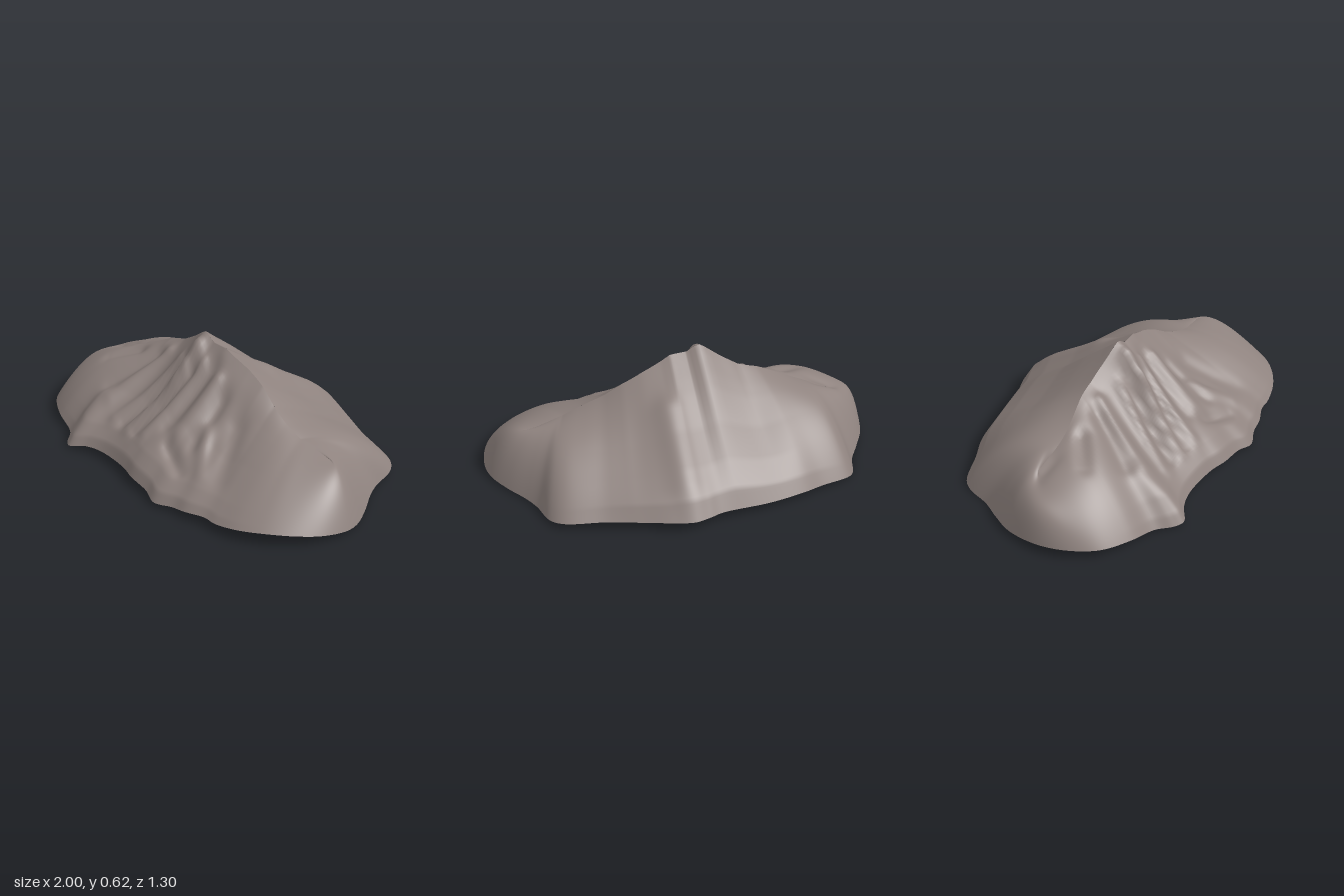
import * as THREE from 'three';

// Rim of the shell [x, y, z], clockwise seen from above, starting at the back
const RIM = [
  [0.1, 0.05, -0.65], [0.2, 0.05, -0.63], [0.35, 0.045, -0.58], [0.5, 0.04, -0.53], [0.7, 0.03, -0.48],
  [0.76, 0.02, -0.42], [0.8, 0.01, -0.28], [0.84, 0.01, -0.2], [0.92, 0.01, -0.08], [0.98, 0.015, 0.03],
  [1, 0.025, 0.12], [0.98, 0.045, 0.25], [0.92, 0.06, 0.36], [0.82, 0.065, 0.46], [0.7, 0.055, 0.53],
  [0.58, 0.04, 0.56], [0.5, 0.04, 0.565], [0.4, 0.035, 0.6], [0.32, 0.025, 0.61], [0.22, 0.018, 0.645],
  [0.13, 0.03, 0.62], [0, 0.04, 0.61], [-0.1, 0.04, 0.585], [-0.3, 0.035, 0.575], [-0.4, 0.03, 0.6],
  [-0.48, 0.015, 0.645], [-0.53, 0.01, 0.62], [-0.6, 0.012, 0.555], [-0.75, 0.04, 0.515], [-0.89, 0.05, 0.435],
  [-0.97, 0.05, 0.31], [-1, 0.04, 0.16], [-0.97, 0.02, -0.02], [-0.9, 0.005, -0.15], [-0.84, 0, -0.25],
  [-0.8, 0.005, -0.37], [-0.76, 0.015, -0.42], [-0.6, 0.03, -0.48], [-0.48, 0.04, -0.53], [-0.3, 0.04, -0.57],
  [-0.05, 0.05, -0.605], [0.02, 0.05, -0.63],
];

// Summit line: [x, height]
const RIDGE = [
  [-0.8, 0.27], [-0.6, 0.355], [-0.4, 0.46], [-0.3, 0.49], [-0.2, 0.55], [-0.13, 0.6], [-0.095, 0.62],
  [-0.04, 0.582], [0.05, 0.578], [0.1, 0.552], [0.2, 0.51], [0.3, 0.46], [0.4, 0.395], [0.5, 0.35],
  [0.6, 0.31], [0.8, 0.26],
];

// Fall from summit line (0) to rim (1) in the middle of the mountain
const FRONT_SLOPE = [
  [0, 1], [0.1, 0.89], [0.2, 0.77], [0.3, 0.66], [0.4, 0.56], [0.53, 0.44], [0.69, 0.32], [0.84, 0.21],
  [0.95, 0.1], [1, 0],
];
const BACK_SLOPE = [[0, 1], [0.1, 0.91], [0.18, 0.84], [0.28, 0.75], [0.5, 0.54], [0.75, 0.33], [0.92, 0.16], [1, 0]];

// Spurs (+) and gullies (-): [x0, z0, x1, z1, width, height]
const FOLDS = [
  [-0.1, 0.1, -0.12, 0.22, 0.05, 0.05],
  [-0.2, 0.14, -0.34, 0.45, 0.035, 0.03],
  [-0.16, 0.14, -0.27, 0.44, 0.032, -0.036],
  [-0.1, 0.2, -0.21, 0.46, 0.032, 0.03],
  [-0.06, 0.18, -0.15, 0.46, 0.03, -0.036],
  [-0.02, 0.14, -0.08, 0.46, 0.032, 0.028],
  [0.04, 0.1, 0.0, 0.38, 0.037, -0.036],
  [0.1, 0.15, 0.09, 0.42, 0.037, 0.03],
  [0.17, 0.17, 0.2, 0.38, 0.037, -0.03],
  [0.2, 0.3, 0.34, 0.46, 0.037, 0.025],
  [0.08, 0.44, 0.24, 0.5, 0.032, -0.03],
  [0.32, 0.2, 0.44, 0.42, 0.05, -0.025],
  [-0.4, 0.12, -0.52, 0.34, 0.042, -0.028],
  [-0.34, 0.1, -0.44, 0.4, 0.037, 0.025],
  [-0.55, 0.12, -0.68, 0.22, 0.04, -0.025],
  [-0.72, 0.06, -0.82, 0.06, 0.04, -0.015],
  [-0.5, 0.42, -0.5, 0.6, 0.06, 0.02],
  [0.12, -0.2, 0.12, -0.63, 0.07, 0.03],
];

function lookUp(table, v) {
  if (v <= table[0][0]) return table[0][1];
  for (let i = 1; i < table.length; i++) {
    const [a, ya] = table[i - 1], [b, yb] = table[i];
    if (v <= b) return ya + (yb - ya) * (v - a) / (b - a);
  }
  return table[table.length - 1][1];
}

// Folds fade out toward their lower ends
function foldHeight(x, z) {
  let sum = 0;
  for (const [x0, z0, x1, z1, width, height] of FOLDS) {
    const dx = x1 - x0, dz = z1 - z0;
    const k = THREE.MathUtils.clamp(((x - x0) * dx + (z - z0) * dz) / (dx * dx + dz * dz), 0, 1);
    const d = Math.hypot(x - x0 - k * dx, z - z0 - k * dz) / width;
    sum += height * (1 - 0.5 * k * k) * Math.exp(-d * d);
  }
  return sum;
}

// Open sheet lofted from the summit line out to the rim
function mountainGeometry(around = 320, rings = 48) {
  const { lerp, smoothstep } = THREE.MathUtils;
  const rim = new THREE.CatmullRomCurve3(RIM.map(p => new THREE.Vector3(...p)), true);
  const positions = [], index = [];
  for (let r = 0; r <= rings; r++) {
    const t = 1 - (1 - r / rings) ** 1.4;
    for (let i = 0; i < around; i++) {
      const p = rim.getPoint(i / around);
      const sx = p.x * 0.78;
      const sz = 0.035 + 0.015 * Math.sin(sx * 11 + 2);
      const x = sx + (p.x - sx) * t, z = sz + (p.z - sz) * t;
      // Domed ends: flatter toward the front left, steep-edged at the right tip
      const frontLeft = smoothstep(p.x, 0, 0.5) * smoothstep(p.z, 0.15, 0.45);
      const tip = p.x < 0 ? Math.exp(-(((p.z - 0.16) / 0.17) ** 2)) : 0;
      const dome = lerp(1 - t ** (2.3 - 0.5 * frontLeft), 1 - 0.35 * t - 0.65 * t ** 7, tip);
      const slope = lookUp(p.z > sz ? FRONT_SLOPE : BACK_SLOPE, t);
      const fall = lerp(slope, dome, smoothstep(Math.abs(p.x), 0.3, 0.85));
      const fade = Math.min(1, t * 8) * Math.min(1, (1 - t) * 6);
      const y = p.y + (lookUp(RIDGE, sx) - p.y) * fall + foldHeight(x, z) * fade;
      positions.push(x, Math.max(0, y), z);
      if (r < rings) {
        const a = r * around + i, b = r * around + (i + 1) % around;
        index.push(a, b, a + around, b, b + around, a + around);
      }
    }
  }
  const geometry = new THREE.BufferGeometry();
  geometry.setAttribute('position', new THREE.Float32BufferAttribute(positions, 3));
  geometry.setIndex(index);
  geometry.computeVertexNormals();
  return geometry;
}

export function createModel() {
  const group = new THREE.Group();
  group.name = 'mountain';
  const rock = new THREE.MeshStandardMaterial({ color: 0x8f837f, side: THREE.DoubleSide });
  rock.name = 'grey brown rock';
  const shell = new THREE.Mesh(mountainGeometry(), rock);
  shell.name = 'mountainShell';
  group.add(shell);
  return group;
}
